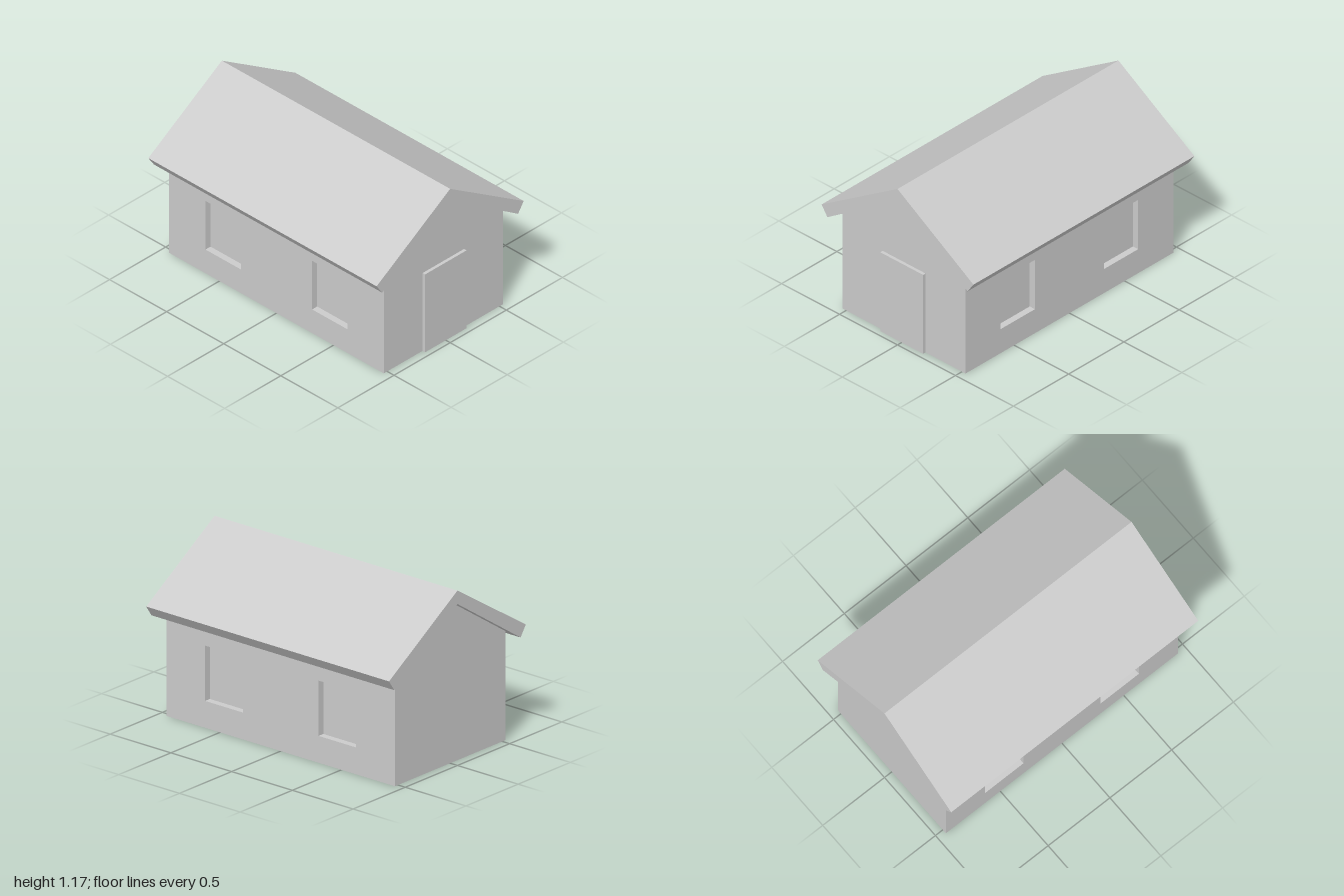
import * as THREE from 'three';

const material = new THREE.MeshStandardMaterial({ color: 0xcccccc, flatShading: true });

const HALF_WIDTH = 0.53, HALF_LENGTH = 0.94, EAVE = 0.73;
const RECESS = 0.045; // depth of the window niches

const polygon = (points) => points.map(([x, y]) => new THREE.Vector2(x, y));

// Rectangle outline as points
const rectangle = (x0, y0, x1, y1) => polygon([[x0, y0], [x1, y0], [x1, y1], [x0, y1]]);

// Straight extrusion along z
function extrude(shape, depth) {
  return new THREE.ExtrudeGeometry(shape, { depth, bevelEnabled: false });
}

function addMesh(group, name, geometry) {
  const mesh = new THREE.Mesh(geometry, material);
  mesh.name = name;
  group.add(mesh);
  return mesh;
}

export function createModel() {
  const house = new THREE.Group();
  house.name = 'house';

  // Gabled body, set in at the sides to leave room for the window walls
  const inner = HALF_WIDTH - RECESS;
  const bodyShape = new THREE.Shape(polygon([
    [-inner, 0], [inner, 0], [inner, EAVE], [HALF_WIDTH, EAVE],
    [0, 1.08], [-HALF_WIDTH, EAVE], [-inner, EAVE],
  ]));
  addMesh(house, 'body', extrude(bodyShape, 2 * HALF_LENGTH).translate(0, 0, -HALF_LENGTH));

  // Side walls, each with two recessed windows
  const wallShape = new THREE.Shape(rectangle(-HALF_LENGTH, 0, HALF_LENGTH, EAVE));
  for (const z of [-0.467, 0.467]) {
    wallShape.holes.push(new THREE.Path(rectangle(z - 0.155, 0.18, z + 0.155, 0.55)));
  }
  for (const [name, side] of [['leftWall', 1], ['rightWall', -1]]) {
    const wall = addMesh(house, name, extrude(wallShape, RECESS));
    wall.rotation.y = side * Math.PI / 2;
    wall.position.x = side * inner;
  }

  // Roof: a folded slab overhanging on all sides
  const roofShape = new THREE.Shape(polygon([
    [0, 1.08], [0.605, 0.68], [0.655, 0.753], [0, 1.17], [-0.655, 0.753], [-0.605, 0.68],
  ]));
  addMesh(house, 'roof', extrude(roofShape, 2).translate(0, 0, -1));

  // Door, standing slightly proud of the front wall
  const door = addMesh(house, 'door', new THREE.BoxGeometry(0.37, 0.592, 0.044));
  door.position.set(0, 0.296, HALF_LENGTH);

  return house;
}
